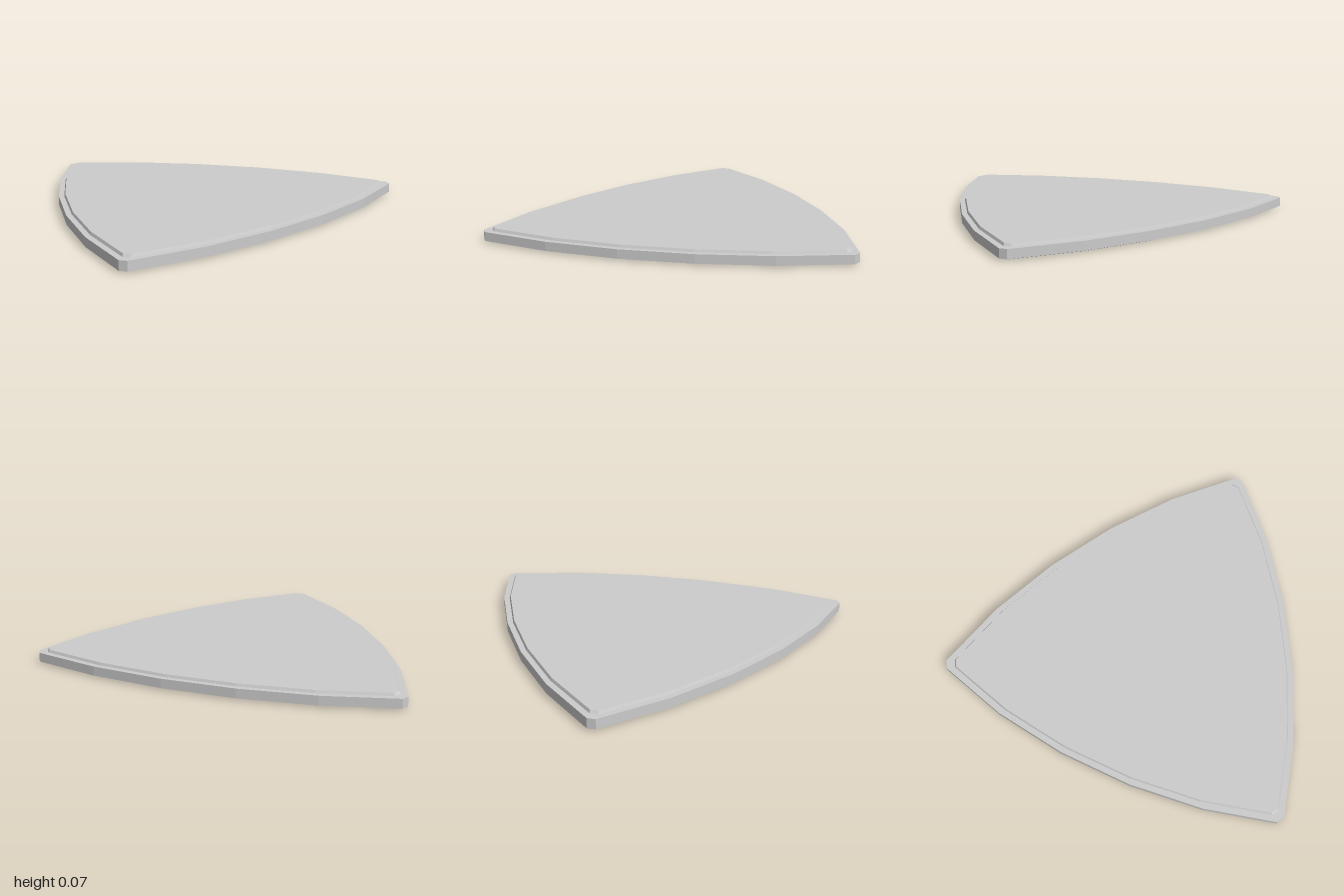
import * as THREE from 'three';

const CENTRE_X = -0.202;

// Outline: one bowed side with cut corners, turned three times about the centre
function outline() {
  const side = [[-0.59, 0.98], [-0.69, 0.6], [-0.738, 0.2], [-0.738, -0.2], [-0.69, -0.6], [-0.59, -0.98]];
  const pts = [];
  for (let k = 0; k < 3; k++) {
    const c = Math.cos(k * 2 * Math.PI / 3), s = Math.sin(k * 2 * Math.PI / 3);
    for (const [x, z] of side) pts.push([x * c - z * s, x * s + z * c]);
  }
  return pts;
}

// Sweep a profile of [scale, height] steps around the outline; scale 0 closes a cap
function sweep(name, profile, material) {
  const pts = outline(), pos = [];
  const at = (i, [s, y]) => {
    const [x, z] = pts[i % pts.length];
    return [CENTRE_X + x * s, y, z * s];
  };
  for (let j = 0; j < profile.length - 1; j++) {
    const a = profile[j], b = profile[j + 1];
    for (let i = 0; i < pts.length; i++) {
      if (b[0] > 0) pos.push(...at(i, a), ...at(i, b), ...at(i + 1, b));
      if (a[0] > 0) pos.push(...at(i, a), ...at(i + 1, b), ...at(i + 1, a));
    }
  }
  const geometry = new THREE.BufferGeometry();
  geometry.setAttribute('position', new THREE.Float32BufferAttribute(pos, 3));
  geometry.computeVertexNormals();
  const mesh = new THREE.Mesh(geometry, material);
  mesh.name = name;
  return mesh;
}

export function createModel() {
  const group = new THREE.Group();
  group.name = 'roundedTriangleShell';
  const material = new THREE.MeshStandardMaterial({ color: 0xcccccc, flatShading: true });

  // Hollow inside: ceiling under the panel, underside of the ledge, thin wall, top of the lip
  group.add(sweep('hollowInside', [[0, 0.06], [0.95, 0.06], [0.953, 0.044], [0.99, 0.044], [0.99, 0.016], [0.955, 0.016]], material));
  // Bottom lip turned inwards, with a shallow bevel
  group.add(sweep('bottomLip', [[0.955, 0.016], [0.955, 0], [0.96, 0], [1, 0.01]], material));
  // Outer wall and flat top ledge
  group.add(sweep('rim', [[1, 0.01], [1, 0.06], [0.96, 0.06]], material));
  // Raised top panel with sloping edge
  group.add(sweep('topPanel', [[0.96, 0.06], [0.952, 0.074], [0, 0.074]], material));
  return group;
}
